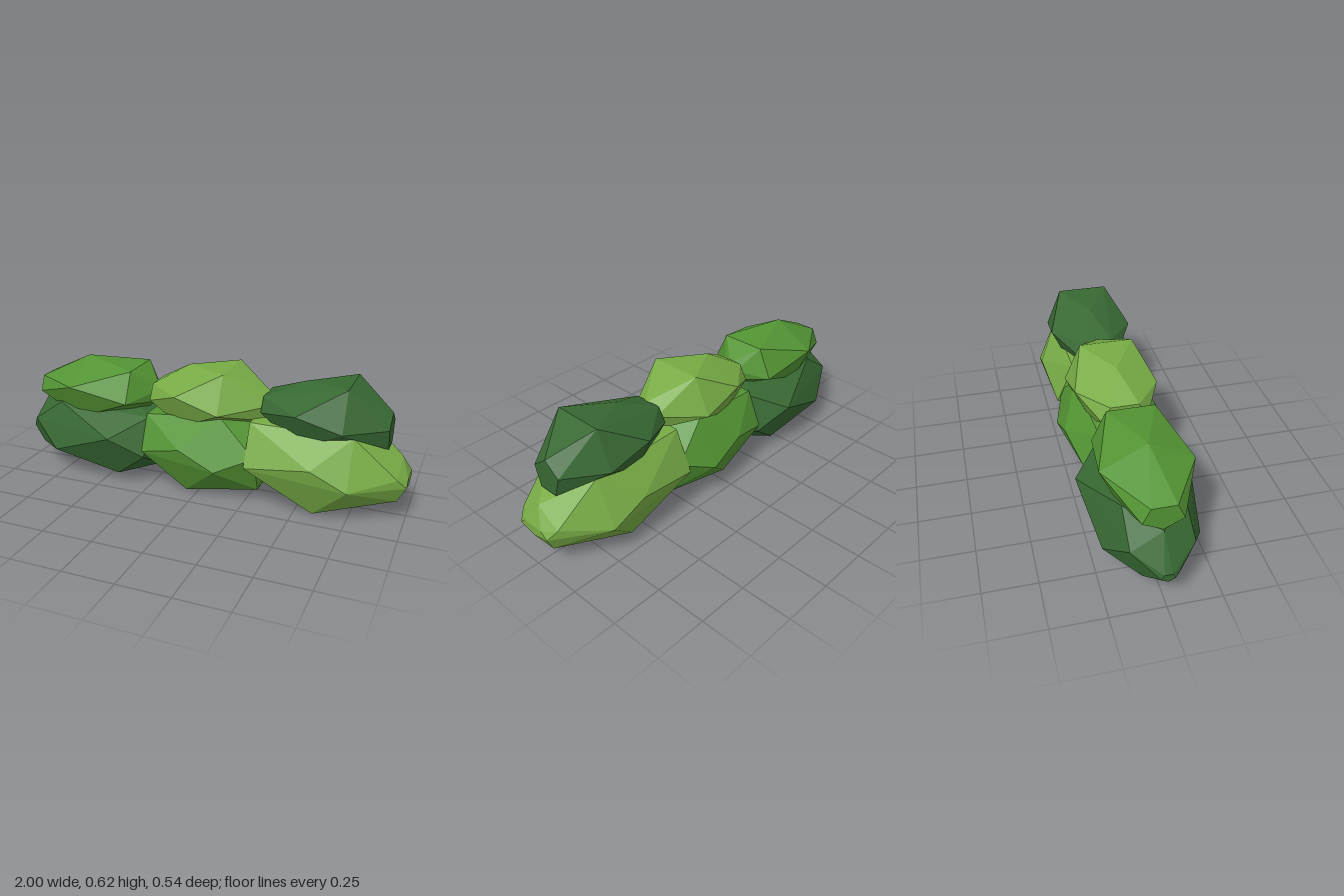
import * as THREE from 'three';
import { ConvexGeometry } from 'three/addons/geometries/ConvexGeometry.js';

const DARK = 0x376832, MID = 0x539433, LIGHT = 0x77ab45;

// Five-sided cross-section (z, y), scaled at each station and flipped at every other one.
const pentagon = [[0, 1], [1, 0.24], [0.62, -1], [-0.62, -1], [-1, 0.24]];

// Faceted leafy clump: stations run along x as [x, bottom, top, half depth].
function leafClump(name, color, stations) {
  const corners = stations.flatMap(([x, bottom, top, depth], i) => {
    const flip = i % 2 ? 1 : -1;
    const middle = (top + bottom) / 2, half = (top - bottom) / 2;
    return pentagon.map(([z, y]) => new THREE.Vector3(x, middle + flip * half * y, depth * z));
  });
  const material = new THREE.MeshStandardMaterial({ color, flatShading: true });
  const clump = new THREE.Mesh(new ConvexGeometry(corners), material);
  clump.name = name;
  return clump;
}

export function createModel() {
  const hedge = new THREE.Group();
  hedge.name = 'hedge';

  // Lower row
  hedge.add(
    leafClump('lowerRightClump', DARK, [
      [-1, 0.16, 0.2, 0.03], [-0.91, 0.12, 0.36, 0.14], [-0.75, 0.005, 0.38, 0.22],
      [-0.42, 0.05, 0.41, 0.27], [-0.26, 0.06, 0.36, 0.2]]),
    leafClump('lowerMiddleClump', MID, [
      [-0.27, 0.1, 0.38, 0.2], [-0.05, 0.02, 0.42, 0.25], [0.13, 0.035, 0.43, 0.26],
      [0.31, 0.07, 0.38, 0.2], [0.345, 0.16, 0.2, 0.04]]),
    leafClump('lowerLeftClump', LIGHT, [
      [0.27, 0.1, 0.42, 0.23], [0.59, 0.015, 0.435, 0.26], [0.76, 0.05, 0.42, 0.25],
      [0.96, 0.11, 0.31, 0.12], [1, 0.17, 0.22, 0.09]]),
  );

  // Upper row
  hedge.add(
    leafClump('upperRightClump', MID, [
      [-0.9, 0.36, 0.48, 0.09], [-0.65, 0.31, 0.605, 0.21],
      [-0.36, 0.34, 0.58, 0.18], [-0.265, 0.41, 0.5, 0.04]]),
    leafClump('upperMiddleClump', LIGHT, [
      [-0.26, 0.4, 0.52, 0.11], [-0.09, 0.34, 0.62, 0.2],
      [0.13, 0.34, 0.63, 0.21], [0.33, 0.4, 0.53, 0.07]]),
    leafClump('upperLeftClump', DARK, [
      [0.31, 0.42, 0.53, 0.11], [0.5, 0.33, 0.61, 0.21],
      [0.715, 0.33, 0.63, 0.2], [0.9, 0.35, 0.51, 0.08]]),
  );
  return hedge;
}
